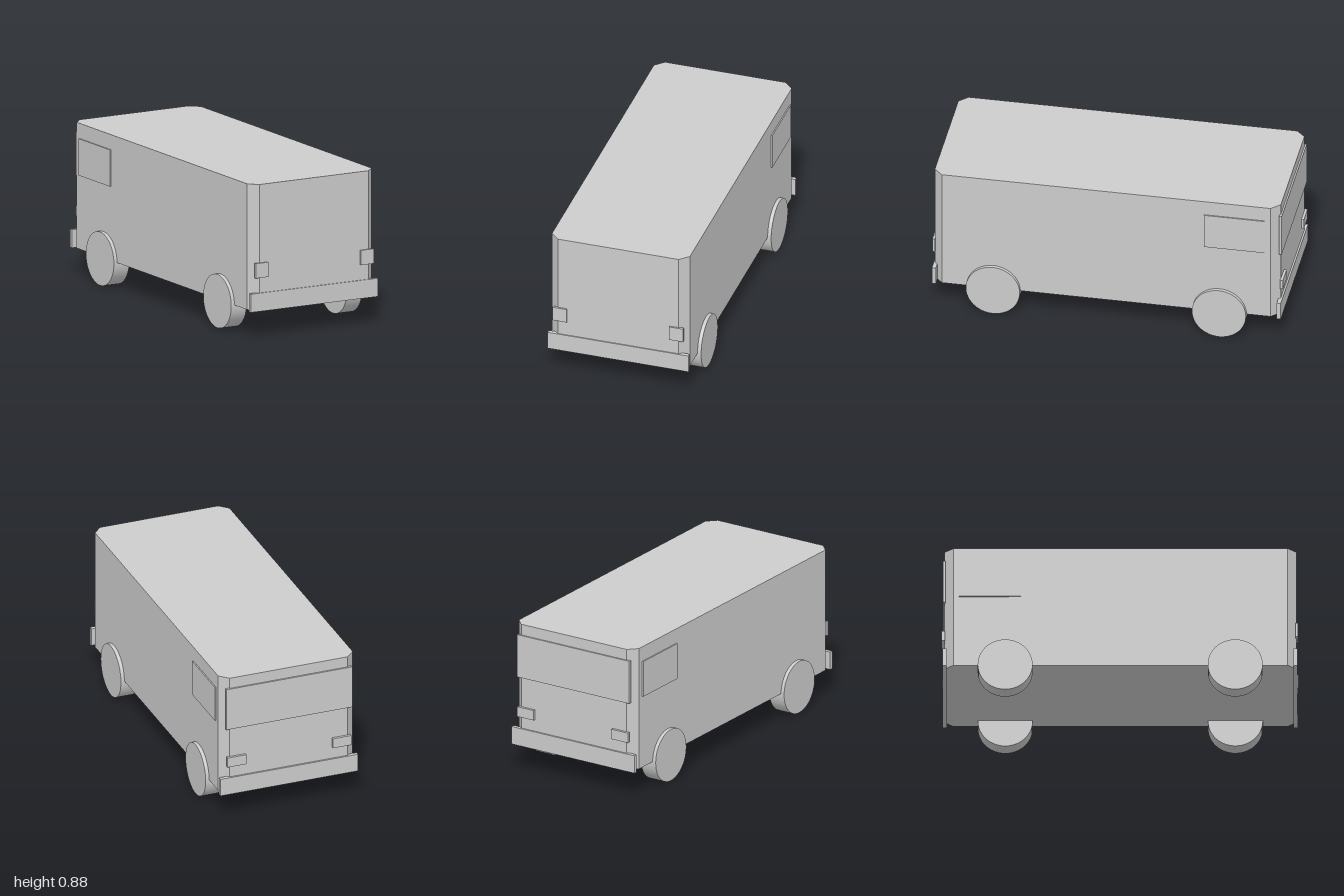
import * as THREE from 'three';

export function createModel() {
  const van = new THREE.Group();
  van.name = 'van';
  const grey = new THREE.MeshStandardMaterial({ color: 0xcccccc });
  grey.name = 'plain grey';

  const add = (name, geometry) => {
    const mesh = new THREE.Mesh(geometry, grey);
    mesh.name = name;
    van.add(mesh);
    return mesh;
  };

  // Box given by its limits on each axis
  const block = (name, [x0, x1], [y0, y1], [z0, z1]) =>
    add(name, new THREE.BoxGeometry(x1 - x0, y1 - y0, z1 - z0))
      .position.set((x0 + x1) / 2, (y0 + y1) / 2, (z0 + z1) / 2);

  // Body: a plan outline with cut corners, extruded down from the roof
  const w = 0.406, c = 0.05, front = 0.991, back = -0.985, roof = 0.88, floor = 0.157;
  const plan = new THREE.Shape([
    [w, back + c], [w, front - c], [w - c, front], [c - w, front],
    [-w, front - c], [-w, back + c], [c - w, back], [w - c, back],
  ].map(([x, z]) => new THREE.Vector2(x, z)));
  const body = new THREE.ExtrudeGeometry(plan, { depth: roof - floor, bevelEnabled: false });
  body.rotateX(Math.PI / 2).translate(0, roof, 0);
  add('body', body);

  // Bumpers and the wide window panel at the back
  block('frontBumper', [-0.415, 0.415], [0.152, 0.257], [0.974, 0.997]);
  block('backBumper', [-0.415, 0.415], [0.152, 0.257], [-0.995, -0.972]);
  block('backWindow', [-0.38, 0.38], [0.562, 0.816], [-0.994, -0.978]);

  for (const [side, s] of [['left', 1], ['right', -1]]) {
    const span = (a, b) => (s > 0 ? [a, b] : [-b, -a]);
    block(side + 'FrontLight', span(0.301, 0.385), [0.345, 0.43], [0.985, 1]);
    block(side + 'BackLight', span(0.262, 0.374), [0.327, 0.386], [-1, -0.982]);
    block(side + 'SideWindow', span(0.404, 0.413), [0.582, 0.793], [-0.902, -0.556]);

    // Wheels
    for (const [end, z] of [['Front', 0.647], ['Back', -0.644]]) {
      const wheel = new THREE.CylinderGeometry(0.154, 0.154, 0.1, 48).rotateZ(Math.PI / 2);
      add(side + end + 'Wheel', wheel).position.set(s * 0.377, 0.154, z);
    }
  }
  return van;
}
